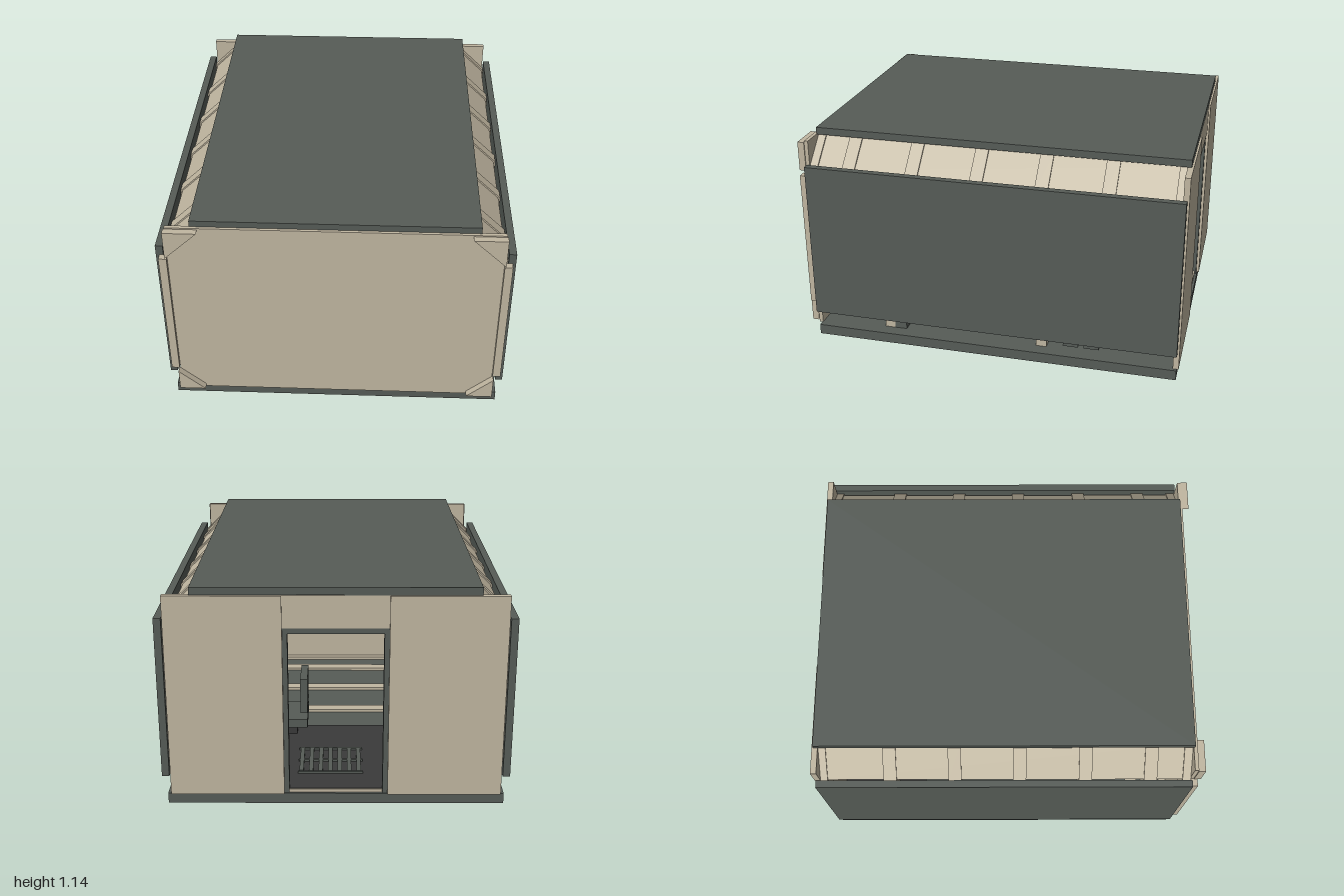
import * as THREE from 'three';

const flat = (name, color) => {
  const m = new THREE.MeshStandardMaterial({ color });
  m.name = name;
  return m;
};

export function createModel() {
  const model = new THREE.Group();
  model.name = 'habitatRoom';
  const beige = flat('beigePanel', 0xc1b7a1);
  const slate = flat('slatePanel', 0x565c57);
  const charcoal = flat('charcoalDeck', 0x3a3a3a);

  const add = (name, geo, mat) => {
    const mesh = new THREE.Mesh(geo, mat);
    mesh.name = name;
    model.add(mesh);
    return mesh;
  };
  // Box given by its limits on each axis
  const box = (name, mat, x0, x1, y0, y1, z0, z1) => {
    const mesh = add(name, new THREE.BoxGeometry(x1 - x0, y1 - y0, z1 - z0), mat);
    mesh.position.set((x0 + x1) / 2, (y0 + y1) / 2, (z0 + z1) / 2);
    return mesh;
  };
  // Outline in x and y, pushed out from z0 to z1
  const prism = (name, mat, pts, z0, z1, hole) => {
    const shape = new THREE.Shape(pts.map(p => new THREE.Vector2(...p)));
    if (hole) shape.holes.push(new THREE.Path(hole.map(p => new THREE.Vector2(...p))));
    const geo = new THREE.ExtrudeGeometry(shape, { depth: z1 - z0, bevelEnabled: false });
    geo.translate(0, 0, z0);
    return add(name, geo, mat);
  };
  const octagon = (w, c, y0, y1, lo, hi) => [
    [c, y0], [w, lo], [w, hi], [c, y1], [-c, y1], [-w, hi], [-w, lo], [-c, y0],
  ];

  // Outer slabs
  box('floorSlab', slate, -0.85, 0.85, 0, 0.055, -0.99, 0.95);
  box('roofSlab', slate, -0.7, 0.7, 1.107, 1.145, -0.99, 0.95);
  for (const s of [-1, 1]) {
    const xs = [s * 0.84, s * 0.877].sort((a, b) => a - b);
    box('sidePanel', slate, ...xs, 0.15, 0.99, -0.99, 0.95);
  }

  // Eight-sided ribs along the room
  const outer = octagon(0.838, 0.68, 0.056, 1.106, 0.2, 0.955);
  const inner = octagon(0.79, 0.655, 0.072, 1.065, 0.215, 0.935);
  for (const z of [-0.955, -0.61, -0.275, 0.06, 0.4, 0.737, 0.925]) {
    const d = Math.abs(z) > 0.9 ? 0.022 : 0.034;
    prism('rib', beige, outer, z - d, z + d, inner);
  }

  // Sloping panels between the ribs
  for (const s of [-1, 1]) {
    const slope = pts => pts.map(([x, y]) => [s * x, y]);
    prism('upperSlope', beige,
      slope([[0.828, 0.955], [0.675, 1.1], [0.665, 1.085], [0.812, 0.945]]), -0.96, 0.94);
    prism('lowerSlope', beige,
      slope([[0.828, 0.2], [0.812, 0.21], [0.665, 0.08], [0.675, 0.067]]), -0.96, 0.94);
  }

  // Front wall with corner plates and posts
  box('frontWall', beige, -0.82, 0.82, 0.055, 1.112, 0.945, 0.965);
  for (const s of [-1, 1]) {
    prism('upperCornerPlate', beige,
      [[s * 0.66, 1.105], [s * 0.825, 1.105], [s * 0.825, 0.95]], 0.965, 1);
    prism('lowerCornerPlate', beige,
      [[s * 0.69, 0.07], [s * 0.825, 0.07], [s * 0.825, 0.19]], 0.965, 1);
    const xs = [s * 0.82, s * 0.86].sort((a, b) => a - b);
    box('frontPost', beige, ...xs, 0.205, 0.935, 0.95, 0.985);
  }

  // Back wall with its doorway
  for (const s of [-1, 1]) {
    const range = (a, b) => [s * a, s * b].sort((p, q) => p - q);
    box('backPanel', beige, ...range(0.26, 0.833), 0.055, 1.105, -1, -0.97);
    box('doorJamb', slate, ...range(0.235, 0.26), 0.055, 0.95, -0.985, -0.93);
  }
  box('doorHeader', beige, -0.26, 0.26, 0.94, 1.105, -0.99, -0.97);
  box('doorLintel', slate, -0.235, 0.235, 0.91, 0.94, -0.985, -0.93);

  // Deck and floor grating by the door
  box('entryDeck', charcoal, -0.64, 0.64, 0.055, 0.075, -0.97, -0.2);
  for (let i = 0; i < 7; i++) {
    const x = -0.13 + i * 0.05;
    box('gratingBar', slate, x, x + 0.022, 0.075, 0.088, -0.8, -0.53);
  }
  for (const z of [-0.81, -0.67, -0.53]) {
    box('gratingRail', slate, -0.14, 0.2, 0.075, 0.085, z, z + 0.015);
  }

  // Worktop on the left side, with its legs and screen
  box('worktop', beige, 0.45, 0.79, 0.31, 0.34, -0.33, 0.61);
  for (const z of [-0.3, 0.54]) {
    box('worktopLeg', beige, 0.7, 0.78, 0.055, 0.31, z, z + 0.055);
  }
  box('worktopCabinet', slate, 0.68, 0.78, 0.055, 0.31, 0.475, 0.54);
  box('screen', slate, 0.66, 0.69, 0.36, 0.58, 0.05, 0.4);
  box('screenFoot', slate, 0.62, 0.74, 0.34, 0.36, 0.17, 0.28);
  for (const z of [-0.47, -0.58]) {
    box('storageUnit', slate, 0.7, 0.79, 0.08, 0.24, z, z + 0.08);
  }

  // Seat in front of the worktop
  box('seatBase', charcoal, 0.22, 0.36, 0.055, 0.14, -0.32, -0.18);
  box('seatCushion', slate, 0.16, 0.42, 0.14, 0.19, -0.38, -0.12);
  box('seatBack', slate, 0.16, 0.2, 0.22, 0.42, -0.36, -0.14);
  box('seatBackStem', charcoal, 0.17, 0.19, 0.19, 0.22, -0.27, -0.23);

  // Shelf and locker on the right side
  box('wallShelf', slate, -0.79, -0.5, 0.62, 0.65, -0.45, 0.4);
  box('wallLocker', slate, -0.7, -0.5, 0.65, 0.76, -0.45, -0.3);

  return model;
}
